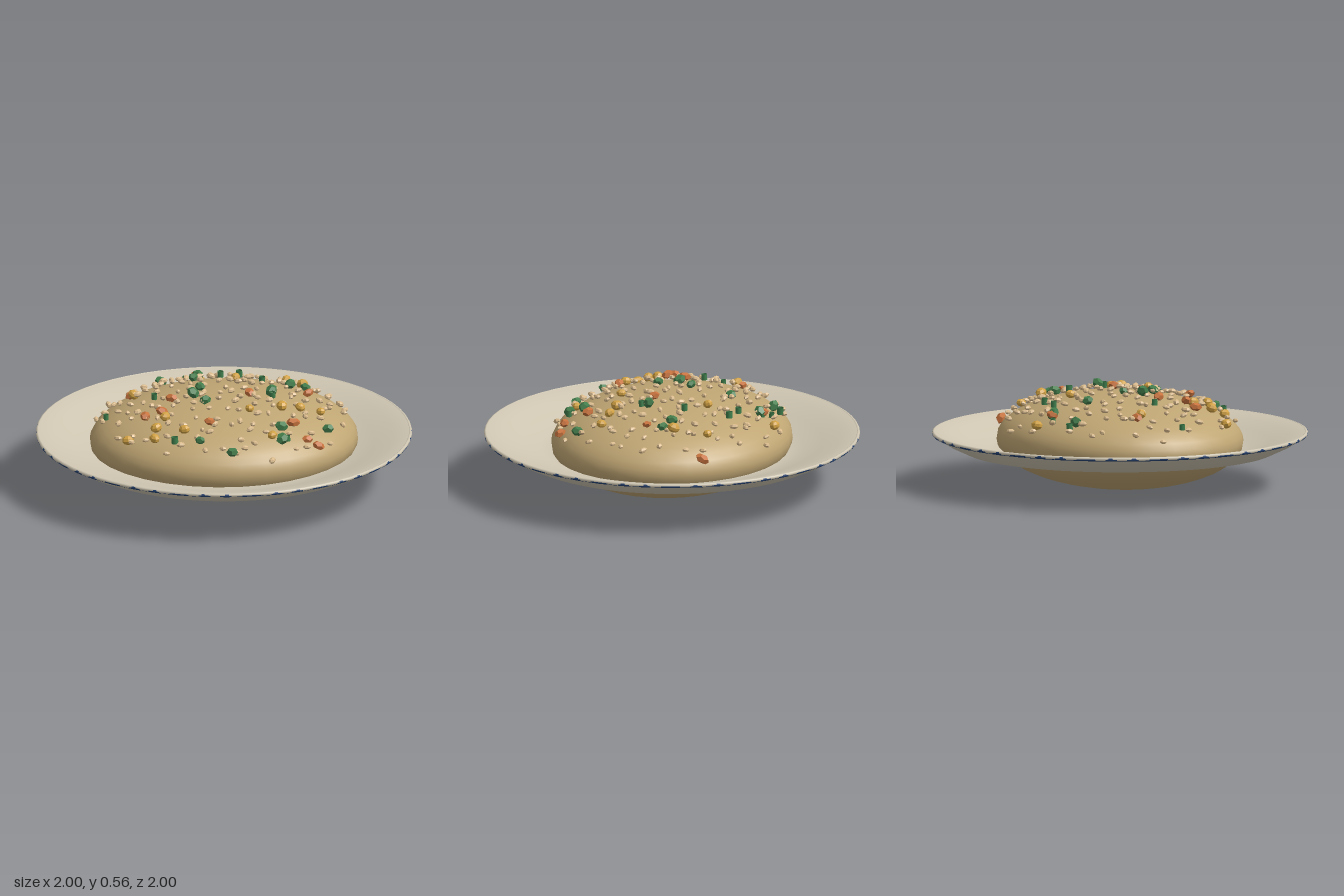
import * as THREE from 'three';

const mat = (name, color, extra = {}) => {
  const m = new THREE.MeshStandardMaterial({ color, ...extra });
  m.name = name;
  return m;
};

// seeded random numbers for the scatter
function seeded(seed) {
  return () => {
    seed = (seed * 1664525 + 1013904223) % 4294967296;
    return seed / 4294967296;
  };
}

const MOUND = { x: 0.716, y: 0.254, z: 0.629, cy: 0.254 };

// height of the mound's surface at x, z, kept above its edge
function moundHeight(x, z) {
  const d = 1 - (x / MOUND.x) ** 2 - (z / MOUND.z) ** 2;
  return MOUND.cy + MOUND.y * Math.sqrt(Math.max(d, 0.06));
}

export function createModel() {
  const model = new THREE.Group();
  model.name = 'riceDish';
  const rand = seeded(41);

  const cream = mat('plateCream', 0xcfc6b2);
  const navy = mat('rimNavy', 0x23406f);
  const rice = mat('riceTan', 0xbfa573);
  const grain = mat('grainCream', 0xd9ba8c, { flatShading: true });
  const green = mat('herbGreen', 0x437d4b, { flatShading: true });
  const orange = mat('carrotOrange', 0xc9743f, { flatShading: true });
  const yellow = mat('cornYellow', 0xd2a244, { flatShading: true });
  const ringGreen = mat('scallionGreen', 0x3f7f4d, { side: THREE.DoubleSide });

  const add = (parent, name, geometry, material) => {
    const mesh = new THREE.Mesh(geometry, material);
    mesh.name = name;
    parent.add(mesh);
    return mesh;
  };

  // shallow plate: underside, edge, then the inside
  const profile = [
    [0, 0.172], [0.68, 0.174], [0.83, 0.196], [0.92, 0.238], [0.985, 0.277], [0.995, 0.29],
    [0.985, 0.297], [0.9, 0.275], [0.8, 0.245], [0.7, 0.21], [0.6, 0.195], [0, 0.192],
  ].map(([r, y]) => new THREE.Vector2(r, y));
  add(model, 'plate', new THREE.LatheGeometry(profile, 64), cream);

  // rounded lip, with a thin line that shows through at intervals
  const ring = (name, radius, tube, segments, y, material) => {
    const mesh = add(model, name, new THREE.TorusGeometry(radius, tube, 8, segments), material);
    mesh.rotation.x = Math.PI / 2;
    mesh.position.y = y;
  };
  ring('plateLip', 0.99, 0.01, 64, 0.289, cream);
  ring('rimLine', 0.99, 0.0102, 48, 0.2875, navy);

  // mound of rice
  const mound = add(model, 'riceMound', new THREE.SphereGeometry(1, 32, 24), rice);
  mound.scale.set(MOUND.x, MOUND.y, MOUND.z);
  mound.position.y = MOUND.cy;

  // pieces laid on the mound, each with its own turn and size
  function scatter(name, spots, geometry, material, lift, tilt) {
    const group = new THREE.Group();
    group.name = name;
    for (const [x, z] of spots) {
      const piece = add(group, name + 'Piece', geometry, material);
      piece.position.set(x, moundHeight(x, z) + lift + (rand() - 0.5) * 0.012, z);
      piece.rotation.set((rand() - 0.5) * tilt, rand() * Math.PI * 2, (rand() - 0.5) * tilt);
      piece.scale.setScalar(0.85 + rand() * 0.3);
    }
    model.add(group);
  }

  scatter('herbs', [
    [-0.27, -0.47], [-0.07, -0.48], [-0.12, -0.29], [-0.12, -0.06], [-0.17, 0.03], [-0.12, 0.13],
    [0.46, -0.14], [0.51, 0.33], [0.25, 0.4], [-0.2, 0.48], [-0.04, 0.57], [0.24, 0.49],
    [0.25, 0.03], [0.38, -0.16],
  ], new THREE.DodecahedronGeometry(0.033).scale(1, 0.75, 0.85), green, 0.026, 1.5);

  scatter('carrots', [
    [-0.08, -0.49], [0.53, -0.4], [0.46, -0.05], [0.13, 0.05], [-0.29, 0.05], [-0.45, 0.18],
    [-0.36, 0.18], [-0.13, 0.36], [0.32, 0.35], [0.38, 0.46], [0.44, 0.46], [-0.47, -0.21],
  ], new THREE.DodecahedronGeometry(0.033).scale(1.1, 0.7, 0.85), orange, 0.024, 0.8);

  scatter('corn', [
    [-0.05, -0.57], [0.39, -0.37], [0.1, -0.25], [-0.46, -0.18], [0.45, -0.2], [0.28, 0.2],
    [0.1, 0.25], [-0.35, 0.23], [-0.27, 0.38], [-0.41, 0.31], [0.19, 0.47], [0.38, 0.2],
    [0.49, 0.2], [-0.56, 0.3], [-0.43, 0.38],
  ], new THREE.SphereGeometry(0.029, 7, 5).scale(1.05, 0.8, 0.9), yellow, 0.024, 0.8);

  scatter('scallions', [
    [-0.27, -0.51], [-0.13, -0.52], [0.04, -0.4], [0.14, -0.39], [0.23, -0.17], [-0.63, -0.03],
    [-0.37, -0.03], [0.25, 0.07], [-0.33, 0.44], [0.27, 0.48],
  ], new THREE.CylinderGeometry(0.016, 0.016, 0.034, 8, 1, true), ringGreen, 0.025, 0.3);

  // loose grains spread evenly over the mound
  const grains = [];
  for (let i = 0; i < 170; i++) {
    const a = i * 2.39996;
    const r = 0.97 * Math.sqrt((i + rand()) / 170);
    grains.push([
      r * MOUND.x * Math.cos(a) * 0.97 + (rand() - 0.5) * 0.06,
      r * MOUND.z * Math.sin(a) + (rand() - 0.5) * 0.06,
    ]);
  }
  scatter('grains', grains, new THREE.SphereGeometry(0.02, 6, 4).scale(1.15, 0.65, 0.75), grain, 0.018, 0.6);

  return model;
}
